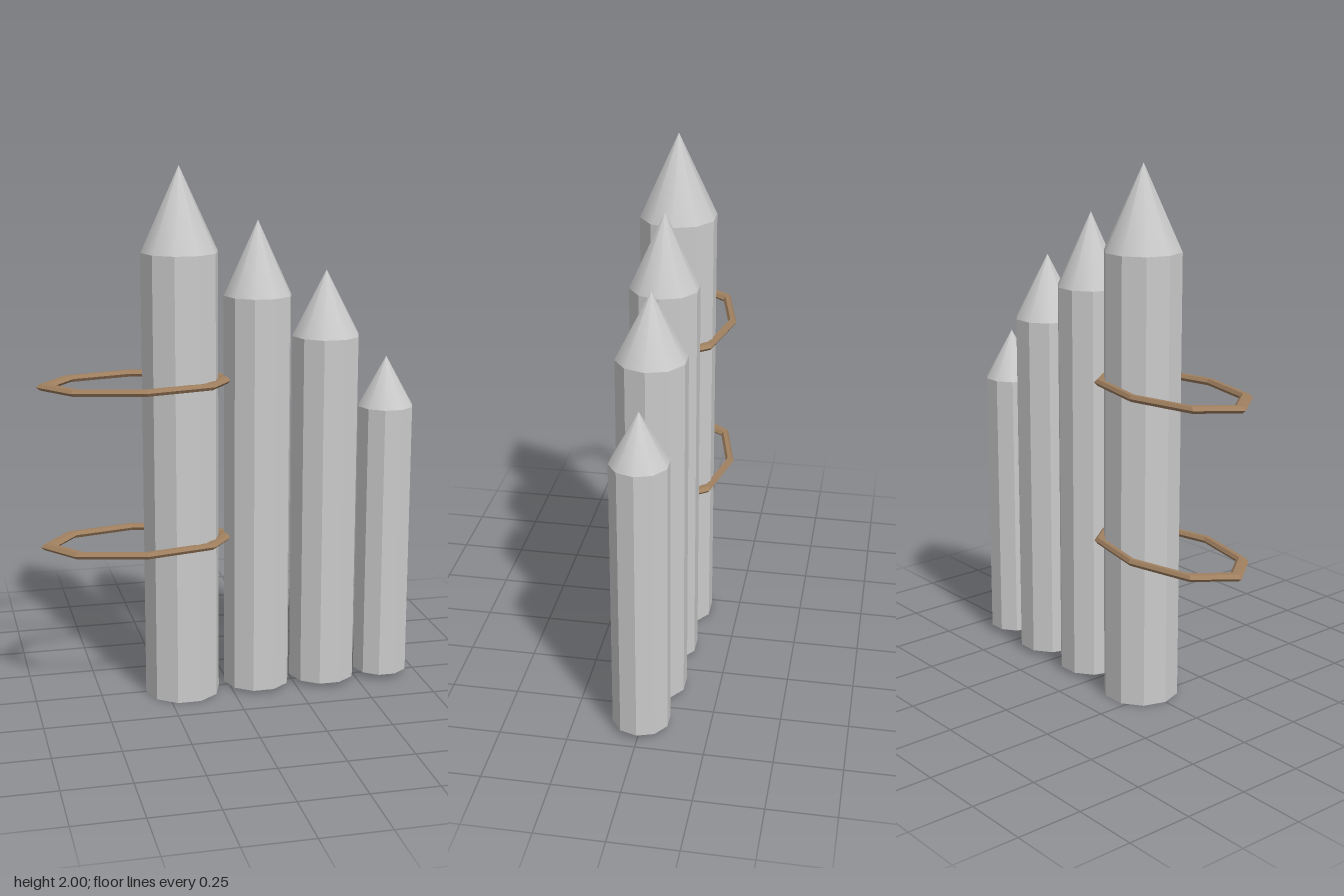
import * as THREE from 'three';

const SIDES = 10;
const grey = new THREE.MeshStandardMaterial({ color: 0xcccccc });
const greyFlat = new THREE.MeshStandardMaterial({ color: 0xcccccc, flatShading: true });
const rope = new THREE.MeshStandardMaterial({ color: 0xa0805f, flatShading: true });

// A faceted log with a smooth-shaded pointed tip
function createPost(x, radius, bottom, shoulder, tip) {
  const post = new THREE.Group();
  post.name = 'post';
  post.position.x = x;

  const log = new THREE.Mesh(
    new THREE.CylinderGeometry(radius, radius, shoulder - bottom, SIDES), greyFlat);
  log.name = 'log';
  log.position.y = (shoulder + bottom) / 2;

  const point = new THREE.Mesh(
    new THREE.ConeGeometry(radius, tip - shoulder, SIDES, 1, true), grey);
  point.name = 'pointedTip';
  point.position.y = (tip + shoulder) / 2;

  post.add(log, point);
  // Put corners on the x axis and flats towards front and back
  post.rotation.y = Math.PI / 2;
  return post;
}

// A stretched eight-sided rope loop lying flat
function createLoop(y) {
  const geometry = new THREE.TorusGeometry(0.92, 0.08, 6, 8);
  geometry.rotateX(Math.PI / 2);
  geometry.scale(0.371, 0.173, 0.2);
  const loop = new THREE.Mesh(geometry, rope);
  loop.name = 'ropeLoop';
  loop.position.set(-0.345, y, 0);
  return loop;
}

export function createModel() {
  const model = new THREE.Group();
  model.name = 'palisade';

  // Posts step down in height: x, radius, bottom, shoulder, tip
  const posts = [
    [-0.185, 0.143, 0, 1.69, 2.0],
    [0.107, 0.128, 0.015, 1.525, 1.8],
    [0.37, 0.129, 0.02, 1.365, 1.61],
    [0.61, 0.107, 0.025, 1.085, 1.275],
  ];
  for (const p of posts) model.add(createPost(...p));

  // Rope loops around the tallest post
  for (const y of [0.61, 1.215]) model.add(createLoop(y));

  return model;
}
